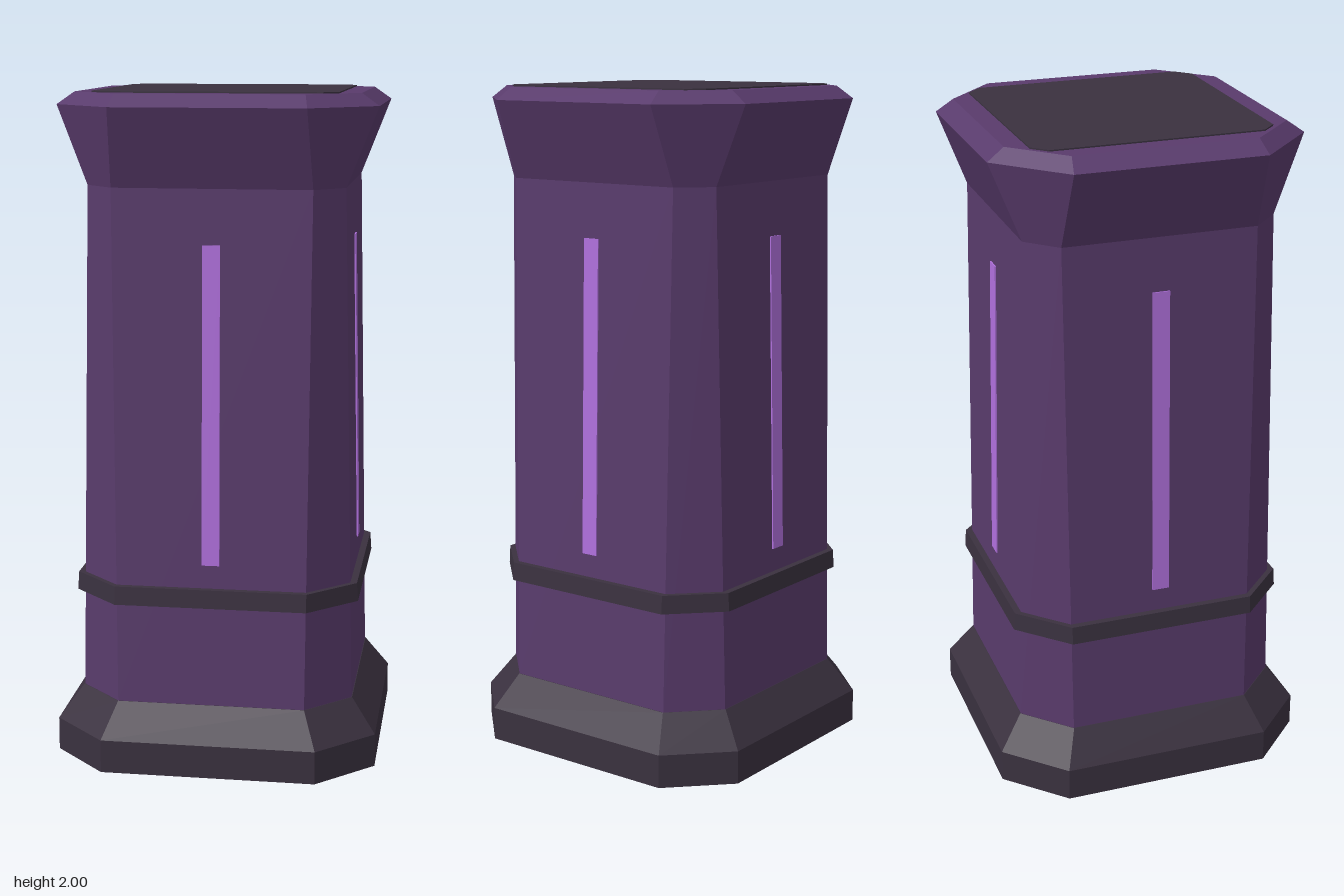
import * as THREE from 'three';

const material = (name, color) => {
  const m = new THREE.MeshStandardMaterial({ color });
  m.name = name;
  return m;
};

// Chamfered-square loft; each ring is [y, half width, half length of flat side]
function loft(rings) {
  const pos = [];
  const loops = rings.map(([y, h, f]) =>
    [[h, -f], [h, f], [f, h], [-f, h], [-h, f], [-h, -f], [-f, -h], [f, -h]].map(([x, z]) => [x, y, z]));
  const tri = (a, b, c) => pos.push(...a, ...b, ...c);
  for (let r = 0; r < loops.length - 1; r++) {
    for (let i = 0; i < 8; i++) {
      const j = (i + 1) % 8, lo = loops[r], hi = loops[r + 1];
      tri(lo[i], hi[i], lo[j]);
      tri(lo[j], hi[i], hi[j]);
    }
  }
  const bottom = loops[0], top = loops[loops.length - 1];
  for (let i = 1; i < 7; i++) {
    tri(bottom[0], bottom[i], bottom[i + 1]);
    tri(top[0], top[i + 1], top[i]);
  }
  const g = new THREE.BufferGeometry();
  g.setAttribute('position', new THREE.Float32BufferAttribute(pos, 3));
  g.computeVertexNormals();
  return g;
}

export function createModel() {
  const purple = material('purple stone', 0x593b6c);
  const dark = material('dark stone', 0x3a313f);
  const glow = material('glowing violet', 0xb070dd);
  purple.flatShading = dark.flatShading = glow.flatShading = true;

  const group = new THREE.Group();
  group.name = 'pillar';
  const add = (name, geometry, mat, parent = group) => {
    const mesh = new THREE.Mesh(geometry, mat);
    mesh.name = name;
    parent.add(mesh);
    return mesh;
  };

  // Plinth, tapered shaft with flared capital, and trim
  add('base', loft([[0, 0.485, 0.32], [0.1, 0.485, 0.32], [0.2, 0.412, 0.28]]), dark);
  add('shaft', loft([[0.2, 0.41, 0.28], [1.73, 0.376, 0.29], [1.96, 0.466, 0.28], [1.996, 0.415, 0.27]]), purple);
  add('band', loft([[0.505, 0.426, 0.285], [0.56, 0.422, 0.285]]), dark);
  add('topPlate', loft([[1.992, 0.355, 0.312], [2, 0.355, 0.312]]), dark);

  // One light strip lying on each sloping face
  for (let i = 0; i < 4; i++) {
    const side = new THREE.Group();
    side.name = 'lightSide' + (i + 1);
    side.rotation.y = i * Math.PI / 2;
    const strip = add('lightStrip', new THREE.BoxGeometry(0.052, 0.94, 0.008), glow, side);
    strip.position.set(0, 1.1, 0.39);
    strip.rotation.x = -Math.atan(0.034 / 1.53);
    group.add(side);
  }
  return group;
}
